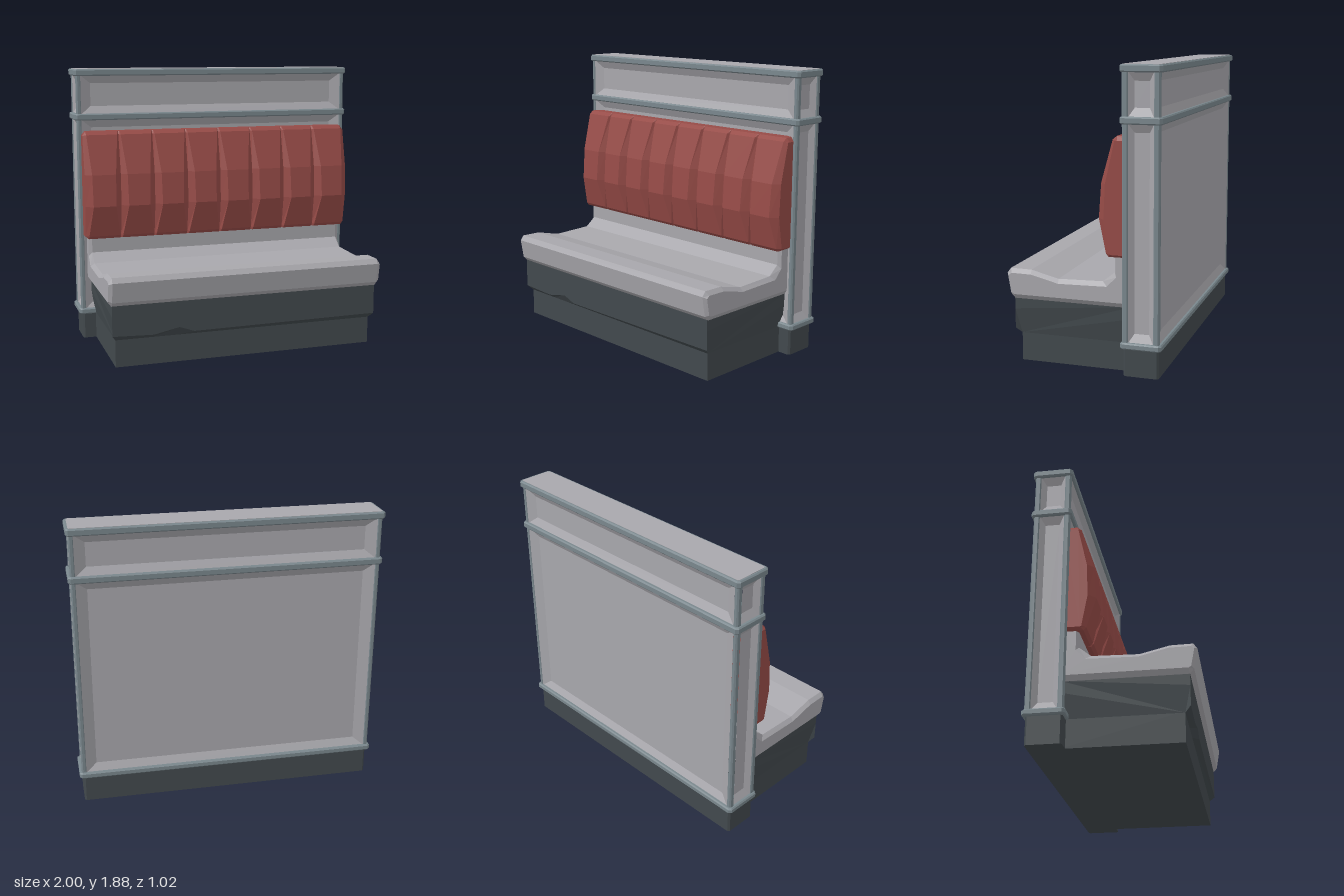
import * as THREE from 'three';

const mat = (name, color) => {
  const m = new THREE.MeshStandardMaterial({ color });
  m.name = name;
  return m;
};

// Closed (x, y, z) rings joined along +x, flat shaded, with both ends capped.
// Each ring runs up the front, back over the top and down the rear.
function loft(rings) {
  const pos = [];
  const put = (...pts) => pts.forEach(p => pos.push(p[0], p[1], p[2]));
  for (let i = 0; i + 1 < rings.length; i++) {
    const r = rings[i], s = rings[i + 1], n = r.length;
    for (let j = 0; j < n; j++) {
      const k = (j + 1) % n;
      put(r[j], s[j], s[k], r[j], s[k], r[k]);
    }
  }
  const cap = (ring, flip) => {
    const flat = ring.map(p => new THREE.Vector2(p[2], p[1]));
    for (const [a, b, c] of THREE.ShapeUtils.triangulateShape(flat, [])) {
      if (flip) put(ring[a], ring[c], ring[b]);
      else put(ring[a], ring[b], ring[c]);
    }
  };
  cap(rings[0], false);
  cap(rings[rings.length - 1], true);
  const g = new THREE.BufferGeometry();
  g.setAttribute('position', new THREE.Float32BufferAttribute(pos, 3));
  g.computeVertexNormals();
  return g;
}

// Upright block standing on y = 0 with cut corners and optional bevelled rims.
function block(w, h, d, cut, bevel = 0) {
  const x = w / 2 - bevel, z = d / 2 - bevel, c = cut;
  const shape = new THREE.Shape([
    [x - c, -z], [x, -z + c], [x, z - c], [x - c, z],
    [-x + c, z], [-x, z - c], [-x, -z + c], [-x + c, -z],
  ].map(p => new THREE.Vector2(...p)));
  const g = new THREE.ExtrudeGeometry(shape, {
    depth: h - 2 * bevel, bevelEnabled: bevel > 0,
    bevelSize: bevel, bevelThickness: bevel, bevelSegments: 1,
  });
  return g.translate(0, 0, bevel).rotateX(-Math.PI / 2);
}

// Sunken panel facing +z: sloping border around a flat field.
function sunkenPanel(w, h, bx, by, depth) {
  const corners = [[-1, -1], [1, -1], [1, 1], [-1, 1]];
  const pos = [];
  for (const [x, y] of corners) pos.push(x * w / 2, y * h / 2, 0);
  for (const [x, y] of corners) pos.push(x * (w / 2 - bx), y * (h / 2 - by), -depth);
  const index = [4, 5, 6, 4, 6, 7];
  for (let i = 0; i < 4; i++) {
    const k = (i + 1) % 4;
    index.push(i, k, k + 4, i, k + 4, i + 4);
  }
  let g = new THREE.BufferGeometry();
  g.setAttribute('position', new THREE.Float32BufferAttribute(pos, 3));
  g.setIndex(index);
  g = g.toNonIndexed();
  g.computeVertexNormals();
  return g;
}

export function createModel() {
  const model = new THREE.Group();
  model.name = 'boothBench';
  const grey = mat('pale grey', 0xa8a7ac);
  const trim = mat('blue grey trim', 0x7a878d);
  const red = mat('red upholstery', 0x964b47);
  const dark = mat('dark base', 0x42494d);

  const add = (name, geometry, material, x = 0, y = 0, z = 0, turn = 0) => {
    const m = new THREE.Mesh(geometry, material);
    m.name = name;
    m.position.set(x, y, z);
    m.rotation.y = turn;
    model.add(m);
  };

  // Partition wall: plinth, corner posts, bands and cap
  const wallZ = -0.378;
  add('wallPlinth', block(1.95, 0.19, 0.222, 0.012), dark, 0, 0, wallZ);
  for (const sx of [-1, 1]) for (const sz of [-1, 1])
    add('cornerPost', block(0.034, 1.65, 0.04, 0.009), trim, sx * 0.968, 0.2, wallZ + sz * 0.097);
  for (const [y, h] of [[0.175, 0.04], [1.53, 0.045], [1.83, 0.046]])
    add('trimBand', block(2, h, 0.26, 0.012, 0.008), trim, 0, y, wallZ - 0.002);
  add('capTop', block(1.965, 0.005, 0.228, 0.01), grey, 0, 1.873, wallZ - 0.002);

  // Sunken panels on all four faces
  for (const [y0, y1] of [[0.21, 1.535], [1.57, 1.835]]) {
    const h = y1 - y0, y = (y0 + y1) / 2;
    for (const s of [-1, 1]) {
      add('widePanel', sunkenPanel(1.91, h, 0.07, 0.055, 0.028), grey,
        0, y, wallZ + s * 0.113, s > 0 ? 0 : Math.PI);
      add('endPanel', sunkenPanel(0.158, h, 0.033, 0.055, 0.028), grey,
        s * 0.98, y, wallZ, s * Math.PI / 2);
    }
  }

  // Seat base: recessed toe kick and an upper box with an undercut front edge
  add('toeKick', new THREE.BoxGeometry(1.77, 0.19, 0.73), dark, 0, 0.095, 0.065);
  const edge = [[-0.91, 0.215], [-0.64, 0.205], [-0.47, 0.24], [-0.37, 0.205], [0.91, 0.215]];
  add('seatBase', loft(edge.map(([x, y]) => {
    const low = Math.abs(x) > 0.9 ? Math.sign(x) * 0.885 : x;
    return [[low, 0.18, 0.43], [x, y, 0.465], [x, 0.34, 0.465], [x, 0.415, 0.465],
      [x, 0.415, -0.3], [x, 0.34, -0.3], [low, 0.18, -0.3]];
  })), dark);

  // Seat cushion: (z, y) profiles for the body and its bevelled ends
  const seatBody = [[0.462, 0.41], [0.49, 0.44], [0.512, 0.57], [0.488, 0.602], [0.35, 0.6],
    [0.17, 0.556], [-0.12, 0.564], [-0.195, 0.625], [-0.195, 0.78], [-0.3, 0.78], [-0.3, 0.41]];
  const seatEnd = [[0.46, 0.44], [0.475, 0.45], [0.495, 0.56], [0.475, 0.576], [0.345, 0.574],
    [0.165, 0.53], [-0.15, 0.537], [-0.21, 0.6], [-0.21, 0.78], [-0.3, 0.78], [-0.3, 0.44]];
  const ring = (x, profile) => profile.map(([z, y]) => [x, y, z]);
  add('seatCushion', loft([
    ring(-0.935, seatEnd), ring(-0.912, seatBody), ring(0.912, seatBody), ring(0.935, seatEnd),
  ]), grey);

  // Backrest: eight padded channels; rows are [y, crest z, groove z, groove half width]
  const rows = [
    [0.725, -0.165, -0.185, 0.008], [0.745, -0.148, -0.175, 0.01], [0.955, -0.095, -0.14, 0.044],
    [1.17, -0.112, -0.15, 0.04], [1.435, -0.192, -0.21, 0.012], [1.457, -0.22, -0.225, 0.008],
  ];
  const back = x => [[x, 1.457, -0.3], [x, 0.725, -0.3]];
  const groove = x => [...rows.map(([y, , z]) => [x, y, z]), ...back(x)];
  const crest = (x, side) =>
    [...rows.map(([y, z, , w]) => [x + side * w, y, z]), ...back(x + side * 0.01)];
  // Outer ends: rounded-off corners and a wider bevel
  const end = s => [...rows.map(([y, , z]) =>
    [s * 0.96, THREE.MathUtils.clamp(y, 0.742, 1.43), z]),
  [s * 0.96, 1.43, -0.3], [s * 0.96, 0.742, -0.3]];
  const shoulder = s => [...rows.map(([y, z, , w]) => [s * (0.945 - w * 0.75), y, z]),
    ...back(s * 0.935)];
  const rings = [end(-1), shoulder(-1)];
  for (let i = -3; i <= 3; i++) {
    const x = i * 0.2375;
    rings.push(crest(x, -1), groove(x), crest(x, 1));
  }
  rings.push(shoulder(1), end(1));
  add('backrestCushion', loft(rings), red);

  return model;
}
